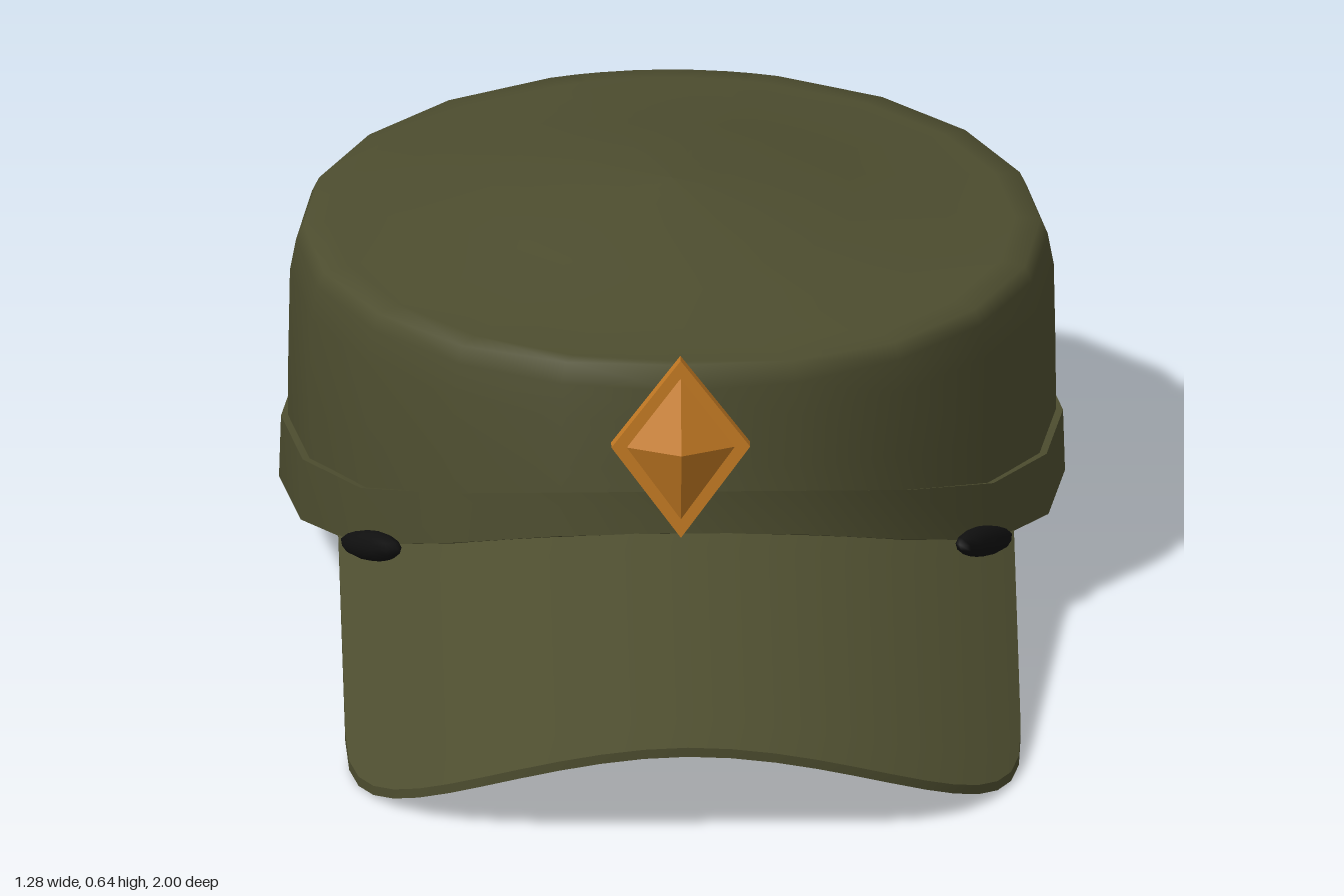
import * as THREE from 'three';
import { toCreasedNormals } from 'three/addons/utils/BufferGeometryUtils.js';

const mat = (name, color, side = THREE.FrontSide) => {
  const m = new THREE.MeshStandardMaterial({ color, side });
  m.name = name;
  return m;
};

// Piecewise linear lookup over [key, value] pairs with rising keys
function lerpTable(table, k) {
  if (k <= table[0][0]) return table[0][1];
  for (let i = 1; i < table.length; i++) {
    const [k0, v0] = table[i - 1], [k1, v1] = table[i];
    if (k <= k1) return v0 + (v1 - v0) * (k - k0) / (k1 - k0);
  }
  return table[table.length - 1][1];
}

// Surface through rows of points; rows run upward, points run from +x towards +z
function loft(rows, closed = true, flip = false) {
  const n = rows[0].length, pos = rows.flat(2), index = [];
  for (let j = 0; j < rows.length - 1; j++) {
    for (let i = 0; i < (closed ? n : n - 1); i++) {
      const a = j * n + i, b = j * n + (i + 1) % n, c = a + n, d = b + n;
      if (flip) index.push(a, b, c, b, d, c);
      else index.push(a, c, b, b, c, d);
    }
  }
  const g = new THREE.BufferGeometry();
  g.setAttribute('position', new THREE.Float32BufferAttribute(pos, 3));
  g.setIndex(index);
  g.computeVertexNormals();
  return g;
}

// Angles round the cap in degrees from the back, with extra ones at the rear opening
const angles = [];
for (let a = -180; a < 180; a += 18) angles.push(a);
angles.push(-14, -13.2, -10, -5, 5, 10, 13.2, 14);
angles.sort((a, b) => a - b);

// Oval ring point: half width, front z, back z
function oval(deg, rx, zf, zb, scale = 1) {
  const t = THREE.MathUtils.degToRad(deg);
  const x = rx * scale * Math.sin(t);
  const z = (zf + zb) / 2 - (zf - zb) / 2 * scale * Math.cos(t);
  return [x, z];
}
const ring = (rx, zf, zb, scale, height) => angles.map(a => {
  const [x, z] = oval(a, rx, zf, zb, scale);
  return [x, height(a, z), z];
}).reverse();

const bandTop = [[-0.99, 0.195], [-0.3, 0.218], [0.05, 0.235], [0.25, 0.3], [0.41, 0.365]];
const bandBottom = [[-0.99, 0.085], [-0.3, 0.112], [0.05, 0.13], [0.25, 0.21], [0.41, 0.292]];
const topY = (a, z) => lerpTable(bandTop, z);
const bottomY = (a, z) => lerpTable(bandBottom, z);
const arch = [[0, 0.368], [5, 0.362], [10, 0.338], [13.2, 0.285]];
const wallBottom = (a, z) => Math.abs(a) < 13.5 ? lerpTable(arch, Math.abs(a)) : bottomY(a, z) + 0.04;
const rimY = a => 0.552 + 0.016 * Math.max(0, -Math.cos(a * Math.PI / 180)) ** 10;

function crownRows(scale, drop) {
  const rows = [
    ring(0.625, 0.4, -0.985, scale, wallBottom),
    ring(0.625, 0.39, -0.985, scale, (a, z) => (wallBottom(a, z) + 0.47) / 2),
    ring(0.622, 0.378, -0.985, scale, () => 0.47),
    ring(0.612, 0.37, -0.972, scale, () => 0.525 - drop),
    ring(0.6, 0.363, -0.955, scale, a => rimY(a) - drop),
  ];
  // Domed top
  for (const [s, y] of [[0.93, 0.556], [0.75, 0.566], [0.5, 0.594], [0.27, 0.617], [0.001, 0.63]])
    rows.push(ring(0.6, 0.363, -0.955, scale * s, () => y - drop));
  return rows;
}

function brimGeometry() {
  const N = 24, M = 8, top = [], under = [];
  const y = (x, z) => 0.155 + 0.225 * (1 - z) - 0.73 * x * x;
  for (let j = 0; j <= M; j++) {
    const rowT = [], rowU = [];
    for (let i = 0; i <= N; i++) {
      const x = 0.55 * Math.sin((i / N - 0.5) * Math.PI);
      const back = -0.3 + 0.665 * Math.sqrt(1 - (x / 0.62) ** 2);
      const front = 0.6 + 0.4 * Math.max(0, 1 - Math.abs(x / 0.55) ** 2.5) ** 0.4;
      const z = back + (front - back) * j / M;
      rowT.push([x, y(x, z), z]);
      rowU.push([x, y(x, z) - 0.016, z]);
    }
    top.push(rowT);
    under.push(rowU);
  }
  // Each row wraps over the top and back along the underside
  const rows = top.map((r, j) => [...r, ...under[j].slice().reverse()]);
  const back = rows[0].map((p, i) => i <= N ? under[0][i] : p);
  const front = rows[M].map((p, i) => i <= N ? under[M][i] : p);
  return toCreasedNormals(loft([back, ...rows, front]), 0.7);
}

function diamond(w, up, down) {
  const s = new THREE.Shape();
  s.moveTo(0, up);
  s.lineTo(-w, 0);
  s.lineTo(0, -down);
  s.lineTo(w, 0);
  s.closePath();
  return s;
}

export function createModel() {
  const olive = mat('olive cloth', 0x4d4d2f);
  const dark = mat('black lining', 0x101010, THREE.DoubleSide);
  const bronze = mat('orange metal', 0xc27923);
  const cap = new THREE.Group();
  cap.name = 'cap';
  const add = (name, geometry, material, parent = cap) => {
    const m = new THREE.Mesh(geometry, material);
    m.name = name;
    parent.add(m);
    return m;
  };

  // Crown with rear opening, and its lining
  add('crown', loft(crownRows(1, 0), true, true), olive);
  add('crownLining', loft(crownRows(0.972, 0.015)), dark);

  // Sweatband, passing below the opening as a strap
  const B = [0.64, 0.41, -0.995];
  add('band', toCreasedNormals(loft([
    ring(...B, 0.975, bottomY), ring(...B, 1, bottomY),
    ring(...B, 0.995, topY), ring(...B, 0.965, topY),
  ], true, true), 0.7), olive);
  add('bandLining', loft([ring(...B, 0.974, bottomY), ring(...B, 0.962, topY)]), dark);

  // Curved brim
  add('brim', brimGeometry(), olive);

  // Dark gussets where the brim meets the band
  for (const s of [-1, 1]) {
    const g = add('brimGusset', new THREE.SphereGeometry(1, 12, 8), dark);
    g.scale.set(0.026, 0.026, 0.12);
    g.position.set(s * 0.5, 0.168, 0.15);
    g.lookAt(s * 0.58, 0.098, -0.05);
  }

  // Diamond badge: flat frame with a faceted stone
  const badge = new THREE.Group();
  badge.name = 'badge';
  badge.position.set(0, 0.447, 0.396);
  badge.rotation.x = -0.06;
  cap.add(badge);
  add('badgeFrame', new THREE.ExtrudeGeometry(diamond(0.113, 0.148, 0.156),
    { depth: 0.027, bevelEnabled: false }), bronze, badge);
  const c = [[0, 0.118, 0.027], [-0.088, 0, 0.027], [0, -0.124, 0.027], [0.088, 0, 0.027]];
  const facets = c.flatMap((p, i) => [...p, ...c[(i + 1) % 4], 0, 0.003, 0.084]);
  const stone = new THREE.BufferGeometry();
  stone.setAttribute('position', new THREE.Float32BufferAttribute(facets, 3));
  stone.computeVertexNormals();
  add('badgeStone', stone, bronze, badge);
  return cap;
}
